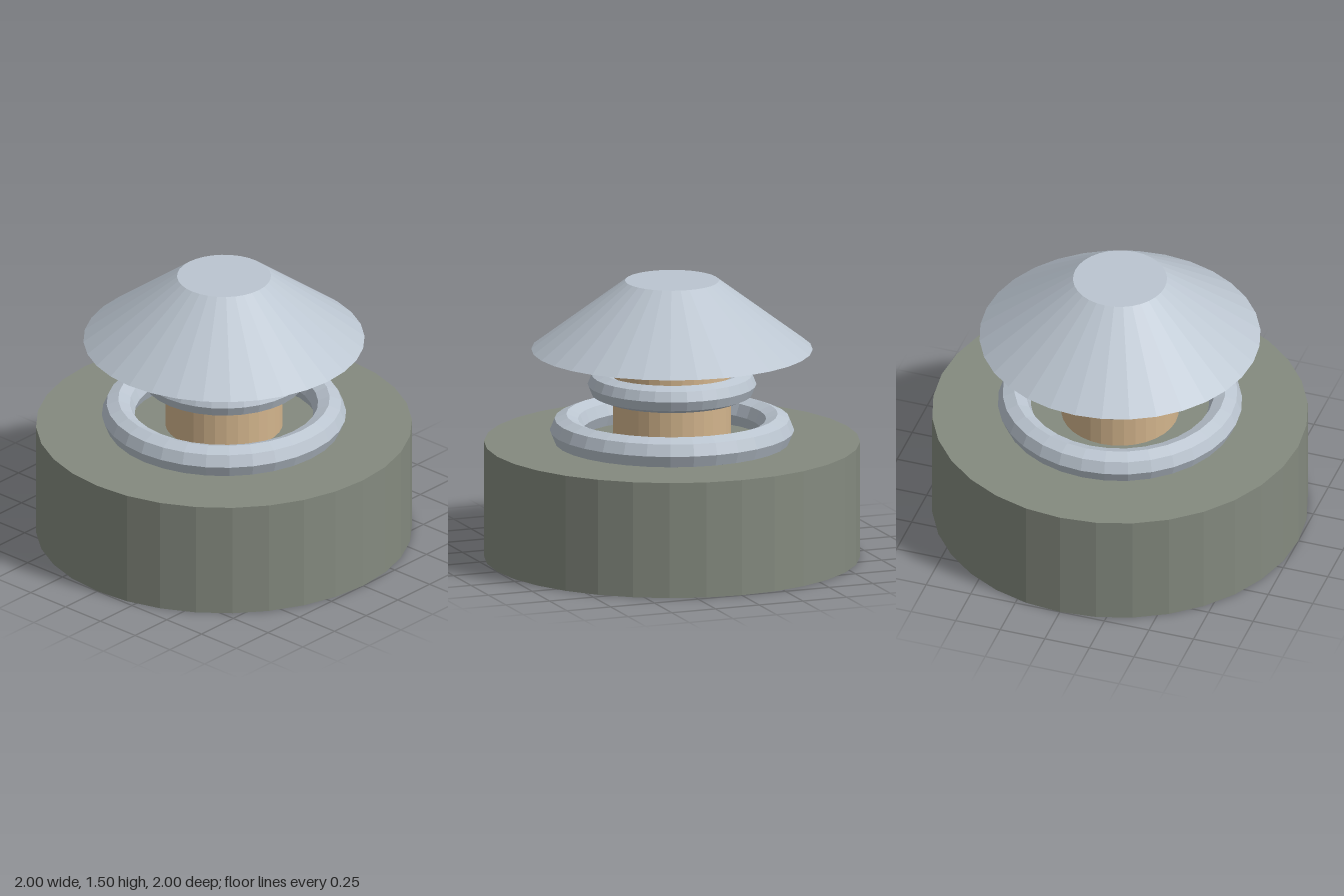
import * as THREE from 'three';

const SIDES = 32;

export function createModel() {
  const model = new THREE.Group();
  const material = (name, color) => {
    const m = new THREE.MeshStandardMaterial({ color });
    m.name = name;
    return m;
  };
  const stone = material('grey green stone', 0x848a7f);
  const wood = material('tan wood', 0xd2b48c);
  const metal = material('pale blue metal', 0xbbc5d0);

  // Split the corners so that every facet shades flat
  const add = (name, geometry, mat, y) => {
    const flat = geometry.toNonIndexed();
    flat.computeVertexNormals();
    const mesh = new THREE.Mesh(flat, mat);
    mesh.name = name;
    mesh.position.y = y;
    model.add(mesh);
  };
  // Frustum standing between two heights
  const frustum = (name, mat, rTop, rBottom, y0, y1) =>
    add(name, new THREE.CylinderGeometry(rTop, rBottom, y1 - y0, SIDES), mat, (y0 + y1) / 2);
  // Level ring with an eight-sided tube
  const ring = (name, radius, tube, y) =>
    add(name, new THREE.TorusGeometry(radius, tube, 8, SIDES).rotateX(Math.PI / 2), metal, y);

  frustum('base', stone, 1, 1, 0, 0.627);
  frustum('post', wood, 0.3125, 0.3125, 0.627, 1.129);
  ring('lowerRing', 0.5625, 0.0875, 0.689);
  ring('upperRing', 0.375, 0.074, 0.94);
  frustum('cap', metal, 0.25, 0.748, 1.129, 1.504);

  return model;
}
